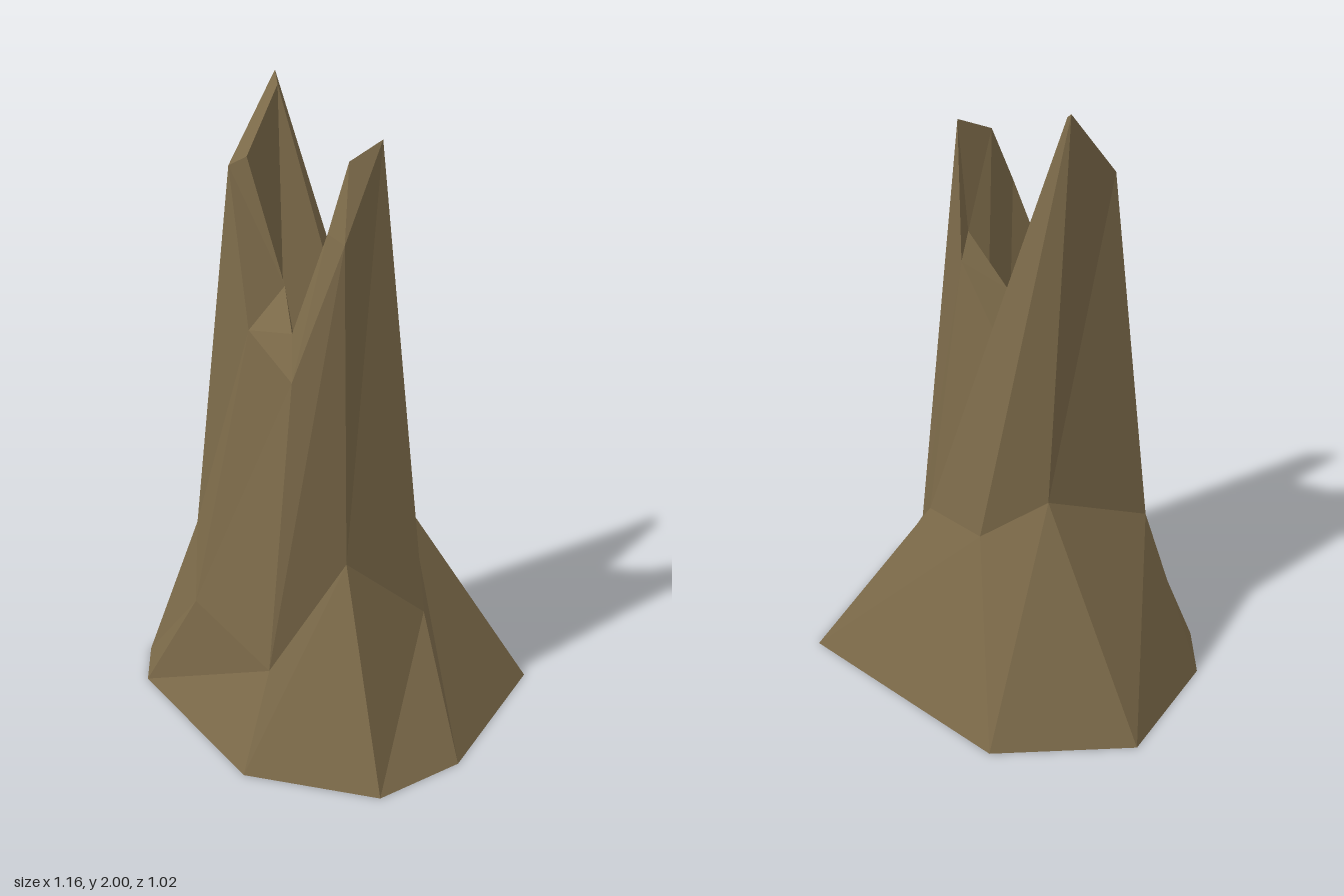
import * as THREE from 'three';

// Cross-sections of the broken stump, eight [x, y, z] corners each, in the same order round the trunk
const base = [[-0.21, 0, -0.51], [0.53, 0, -0.42], [0.58, 0, 0.1], [0.47, 0, 0.37],
  [0.07, 0, 0.51], [-0.48, 0, 0.29], [-0.58, 0, 0.15], [-0.58, 0, -0.24]];
const knee = [[-0.02, 0.62, -0.265], [0.19, 0.61, -0.23], [0.35, 0.38, -0.06], [0.22, 0.63, 0.18],
  [0.07, 0.3, 0.37], [-0.25, 0.4, 0.31], [-0.36, 0.57, 0.15], [-0.19, 0.75, -0.15]];
const outerRim = [[0.01, 1.3, -0.14], [0.13, 1.47, -0.115], [0.185, 1.87, -0.04], [0.17, 1.61, 0.125],
  [0.07, 1.21, 0.24], [-0.1, 1.32, 0.21], [-0.23, 1.76, 0.115], [-0.19, 2, -0.06]];
const innerRim = [[0.01, 1.39, -0.06], [0.15, 1.53, -0.05], [0.13, 1.82, 0.045], [0.11, 1.63, 0.12],
  [0.03, 1.33, 0.18], [-0.05, 1.43, 0.1], [-0.18, 1.79, 0.095], [-0.16, 1.97, -0.03]];
const floorY = 1.15;
const floor = [[0, -0.06], [0.085, -0.055], [0.085, 0], [0.08, 0.055],
  [0.01, 0.105], [-0.06, 0.1], [-0.15, 0.06], [-0.13, -0.01]].map(([x, z]) => [x, floorY, z]);
const floorCentre = base.map(() => [-0.02, floorY, 0.02]);

// Faceted band joining two cross-sections
function band(name, lower, upper, material) {
  const points = [];
  const n = lower.length;
  for (let i = 0; i < n; i++) {
    const j = (i + 1) % n;
    points.push(...lower[i], ...upper[i], ...lower[j]);
    if (upper !== floorCentre) points.push(...upper[i], ...upper[j], ...lower[j]);
  }
  const geometry = new THREE.BufferGeometry();
  geometry.setAttribute('position', new THREE.Float32BufferAttribute(points, 3));
  geometry.computeVertexNormals();
  const mesh = new THREE.Mesh(geometry, material);
  mesh.name = name;
  return mesh;
}

export function createModel() {
  const bark = new THREE.MeshStandardMaterial({ color: 0x7d6b4a, flatShading: true, side: THREE.DoubleSide });
  bark.name = 'bark';
  const stump = new THREE.Group();
  stump.name = 'brokenStump';
  stump.add(
    band('flaredRoots', base, knee, bark),
    band('trunk', knee, outerRim, bark),
    band('splinteredRim', outerRim, innerRim, bark),
    band('hollowWall', innerRim, floor, bark),
    band('hollowFloor', floor, floorCentre, bark),
  );
  return stump;
}
